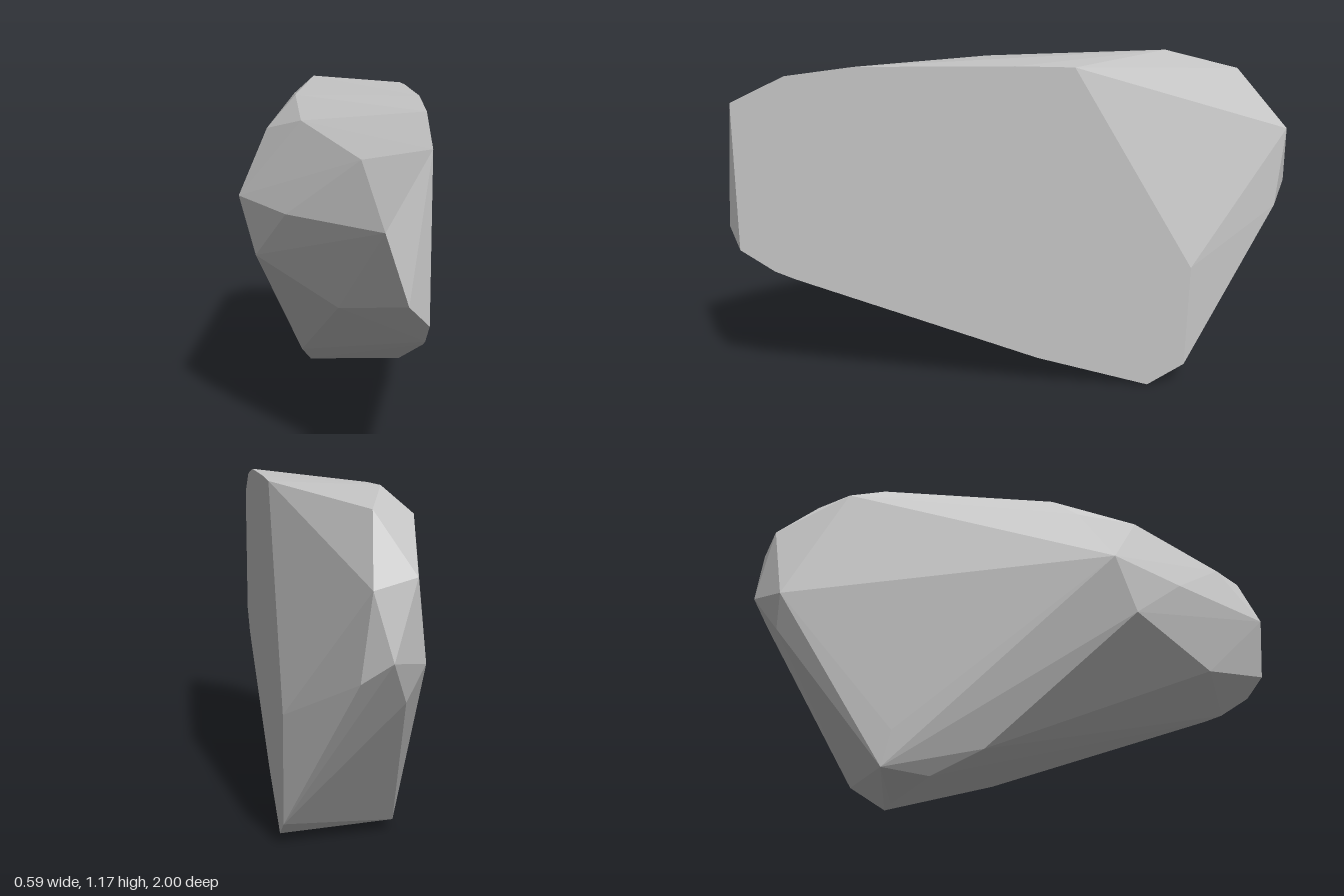
import * as THREE from 'three';
import { ConvexGeometry } from 'three/addons/geometries/ConvexGeometry.js';

export function createModel() {
  const stone = new THREE.MeshStandardMaterial({ color: 0xc6c6c6 });
  stone.name = 'grey stone';

  // Outline of the flat cut side, as [y, z]
  const cutX = 0.295;
  const cutFace = [
    [1.05, 0.955], [1.14, 0.77], [1.17, 0.54], [1.17, 0], [1.165, -0.2],
    [0.45, -0.62], [0.08, -0.61], [0, -0.48], [0.11, -0.08],
    [0.42, 0.77], [0.45, 0.84], [0.53, 0.955],
  ].map(([y, z]) => [cutX, y, z]);

  // Chipped corners of the rounded side
  const frontCorners = [
    [0.16, 0.815, 0.99], [0.23, 0.6, 1], [0.1, 1, 0.8],
    [-0.13, 0.795, 0.57], [0.035, 0.525, 0.72], [-0.235, 0.62, 0.375],
  ];
  const crownCorners = [
    [-0.295, 0.81, 0.285], [-0.2, 1.03, 0.17], [-0.1, 1.14, 0.09],
    [-0.08, 1.08, 0.42], [-0.03, 1.17, -0.55], [-0.11, 1.09, -0.68],
  ];
  const backCorners = [
    [0.04, 1.115, -0.8], [0.07, 0.9, -0.985], [-0.07, 0.93, -0.94],
    [-0.105, 0.665, -0.9], [0.01, 0.69, -1], [0.1, 0.62, -0.95],
    [-0.045, 0.55, -0.905],
  ];
  const baseCorners = [
    [-0.085, 0.04, -0.51], [-0.045, 0.028, -0.34], [-0.107, 0.168, -0.481],
    [-0.08, 0.125, -0.156], [0.21, 0.002, -0.46],
  ];

  // Faceted boulder stretched over all the corners
  const corners = [cutFace, frontCorners, crownCorners, backCorners, baseCorners]
    .flat().map((p) => new THREE.Vector3(...p));
  const rock = new THREE.Mesh(new ConvexGeometry(corners), stone);
  rock.name = 'rock';

  const group = new THREE.Group();
  group.name = 'boulder';
  group.add(rock);
  return group;
}
